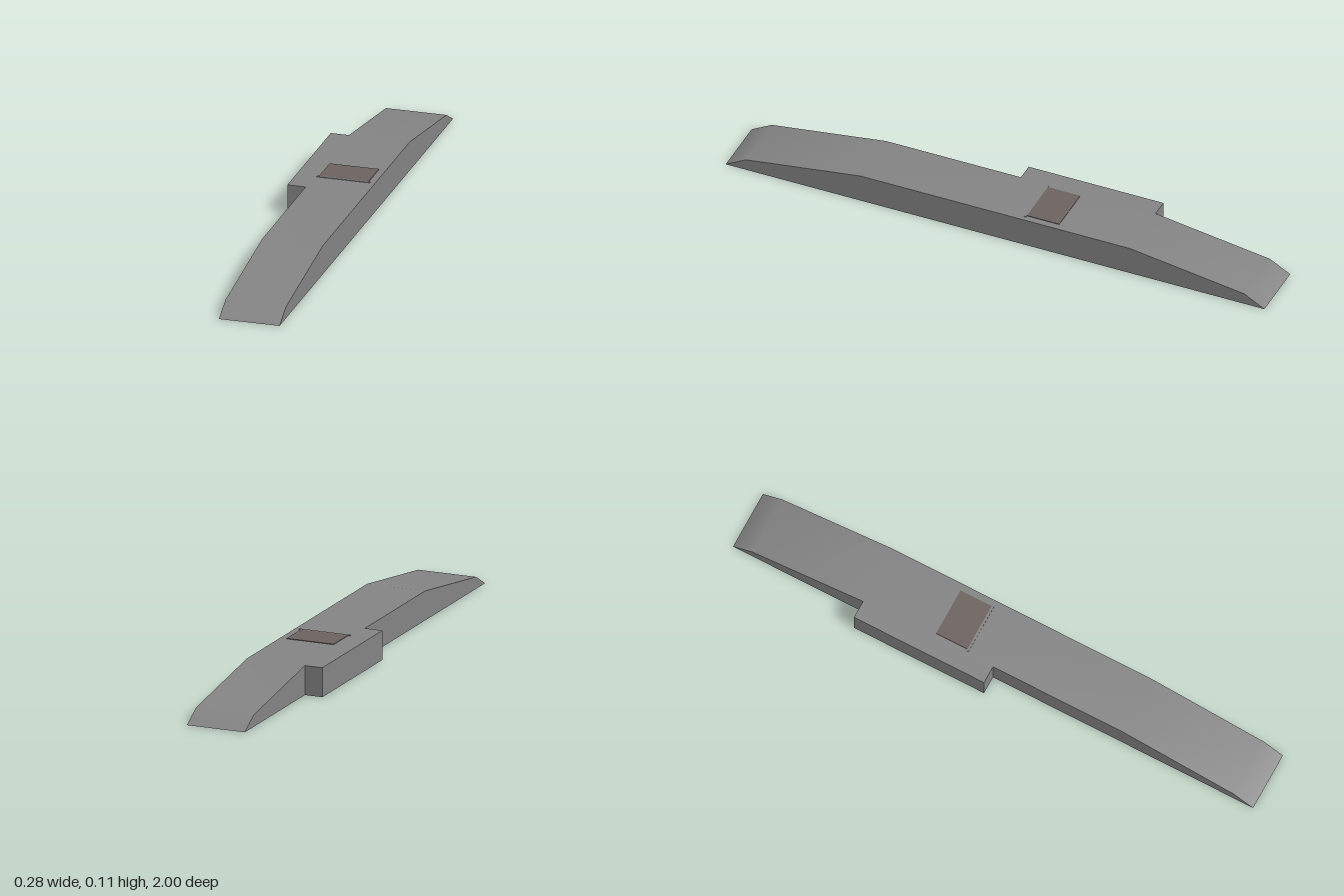
import * as THREE from 'three';

const paint = (color, flatShading = true) =>
  new THREE.MeshStandardMaterial({ color, flatShading, side: THREE.DoubleSide });
const grey = paint(0x858585);
const smoothGrey = paint(0x858585, false);
const hatchBrown = paint(0x6d6360);
const ceilingBrown = paint(0x83776f);

const TOP = 0.104, LEFT = 0.14, RIGHT = -0.075, BAY = -0.14;

export function createModel() {
  const model = new THREE.Group();

  function add(name, geometry, material = grey) {
    const mesh = new THREE.Mesh(geometry, material);
    mesh.name = name;
    model.add(mesh);
    return mesh;
  }
  // Flat shape or extrusion drawn in (z, y), turned to lie across x
  const profile = (pts) => new THREE.Shape(pts.map(([z, y]) => new THREE.Vector2(z, y)));
  const sideWall = (name, x, pts) =>
    add(name, new THREE.ShapeGeometry(profile(pts)).rotateY(-Math.PI / 2).translate(x, 0, 0));

  // Sheet lofted across x through a (z, y) path running from front to back
  function sheet(name, x0, x1, path, material) {
    const pos = [], idx = [];
    path.forEach(([z, y], i) => {
      pos.push(x0, y, z, x1, y, z);
      if (i) idx.push(2 * i - 2, 2 * i - 1, 2 * i, 2 * i - 1, 2 * i + 1, 2 * i);
    });
    const g = new THREE.BufferGeometry();
    g.setAttribute('position', new THREE.Float32BufferAttribute(pos, 3));
    g.setIndex(idx);
    g.computeVertexNormals();
    return add(name, g, material);
  }

  // Deck with a two-pitch ramp at each end, softly shaded, hollow beneath
  const deck = [[1, 0], [0.925, 0.042], [0.5, TOP], [-0.5, TOP], [-0.925, 0.042], [-1, 0]];
  sheet('deck', RIGHT, LEFT, deck, smoothGrey);
  sideWall('leftWall', LEFT, deck);
  sideWall('rightFrontWall', RIGHT, [...deck.slice(0, 3), [0, TOP], [0, 0]]);
  sideWall('rightBackWall', RIGHT, [[-0.5, 0], ...deck.slice(3)]);

  // Side bay, open to the hollow of the platform
  const bay = [[0, 0], [0, TOP], [-0.5, TOP], [-0.5, 0]];
  sheet('sideBay', BAY, RIGHT, bay);
  sideWall('sideBayWall', BAY, bay);

  // Brown lining under the level deck
  sheet('ceiling', RIGHT + 0.001, LEFT - 0.001, [[0.5, TOP - 0.002], [-0.5, TOP - 0.002]], ceilingBrown);

  // Stepped well hanging below the deck
  const well = profile([[-0.1, 0.102], [-0.1, 0.035], [-0.165, 0.035], [-0.165, 0.075], [-0.23, 0.075], [-0.23, 0.102]]);
  add('steppedWell', new THREE.ExtrudeGeometry(well, { depth: 0.175, bevelEnabled: false })
    .rotateY(-Math.PI / 2).translate(0.115, 0, 0));

  // Hatch plate and its front sill
  add('hatch', new THREE.BoxGeometry(0.175, 0.002, 0.12), hatchBrown).position.set(0.0275, TOP + 0.001, -0.167);
  add('hatchSill', new THREE.BoxGeometry(0.19, 0.002, 0.008)).position.set(0.0275, TOP + 0.001, -0.103);

  return model;
}
